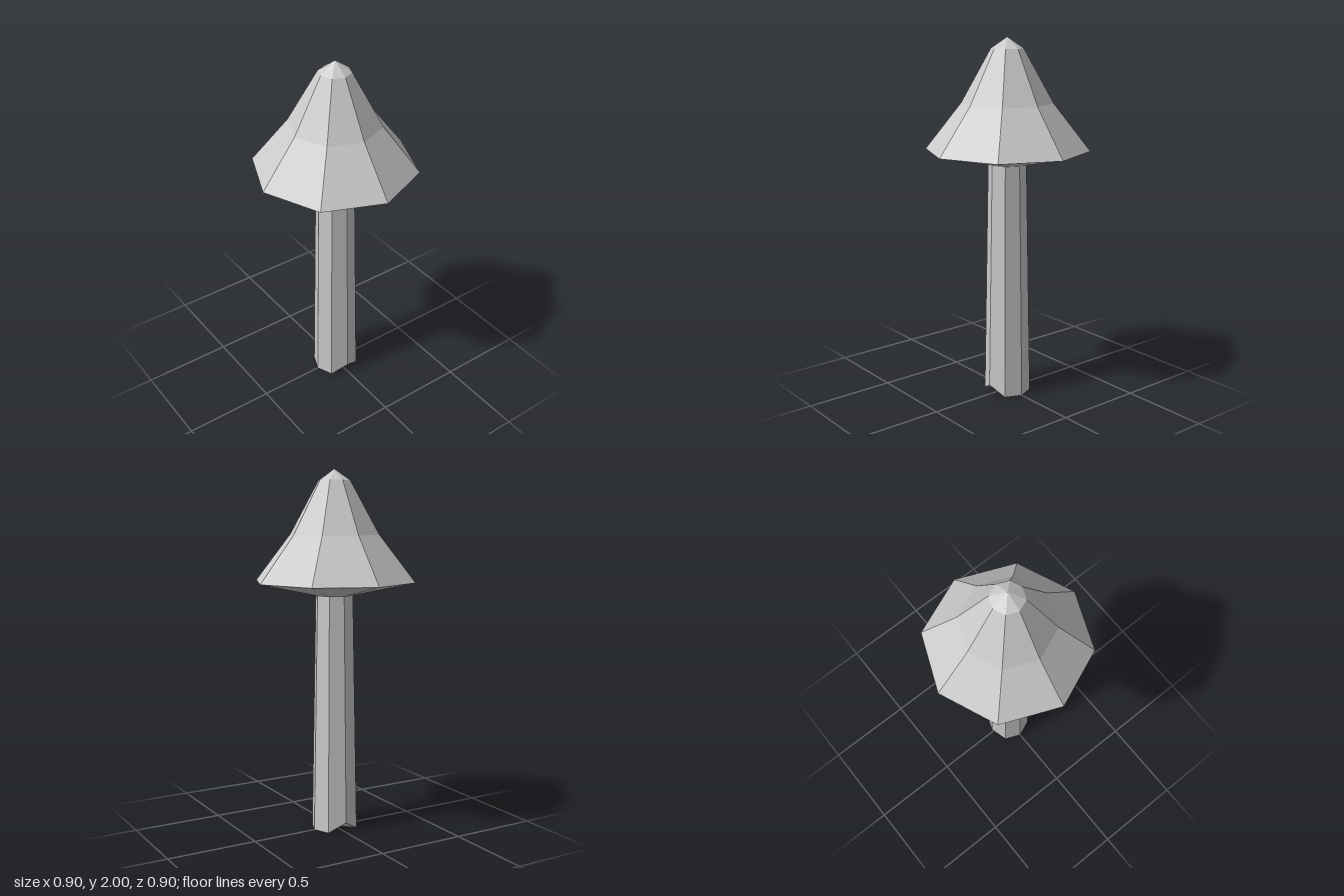
import * as THREE from 'three';

const SIDES = 8;

// Faceted octagonal solid turned from [radius, height] pairs, bottom to top
function turned(name, profile) {
  const points = profile.map(([r, y]) => new THREE.Vector2(r, y));
  const geometry = new THREE.LatheGeometry(points, SIDES);
  const material = new THREE.MeshStandardMaterial({ color: 0xcccccc, flatShading: true });
  const mesh = new THREE.Mesh(geometry, material);
  mesh.name = name;
  return mesh;
}

export function createModel() {
  const group = new THREE.Group();
  group.name = 'mushroom';

  // Tapering stem, with the two side corners of its foot notched upwards
  const stem = turned('stem', [[0, 0], [0.13, 0], [0.105, 1.325]]);
  const pos = stem.geometry.attributes.position;
  for (let i = 0; i < pos.count; i++) {
    if (pos.getY(i) < 0.01 && Math.abs(pos.getX(i)) > 0.12) pos.setY(i, 0.055);
  }
  stem.geometry.computeVertexNormals();
  group.add(stem);

  // Pointed cap with a shallow conical underside
  group.add(turned('cap', [
    [0, 1.32], [0.105, 1.32], [0.45, 1.395], [0.25, 1.65], [0.088, 1.94], [0, 2],
  ]));

  return group;
}
